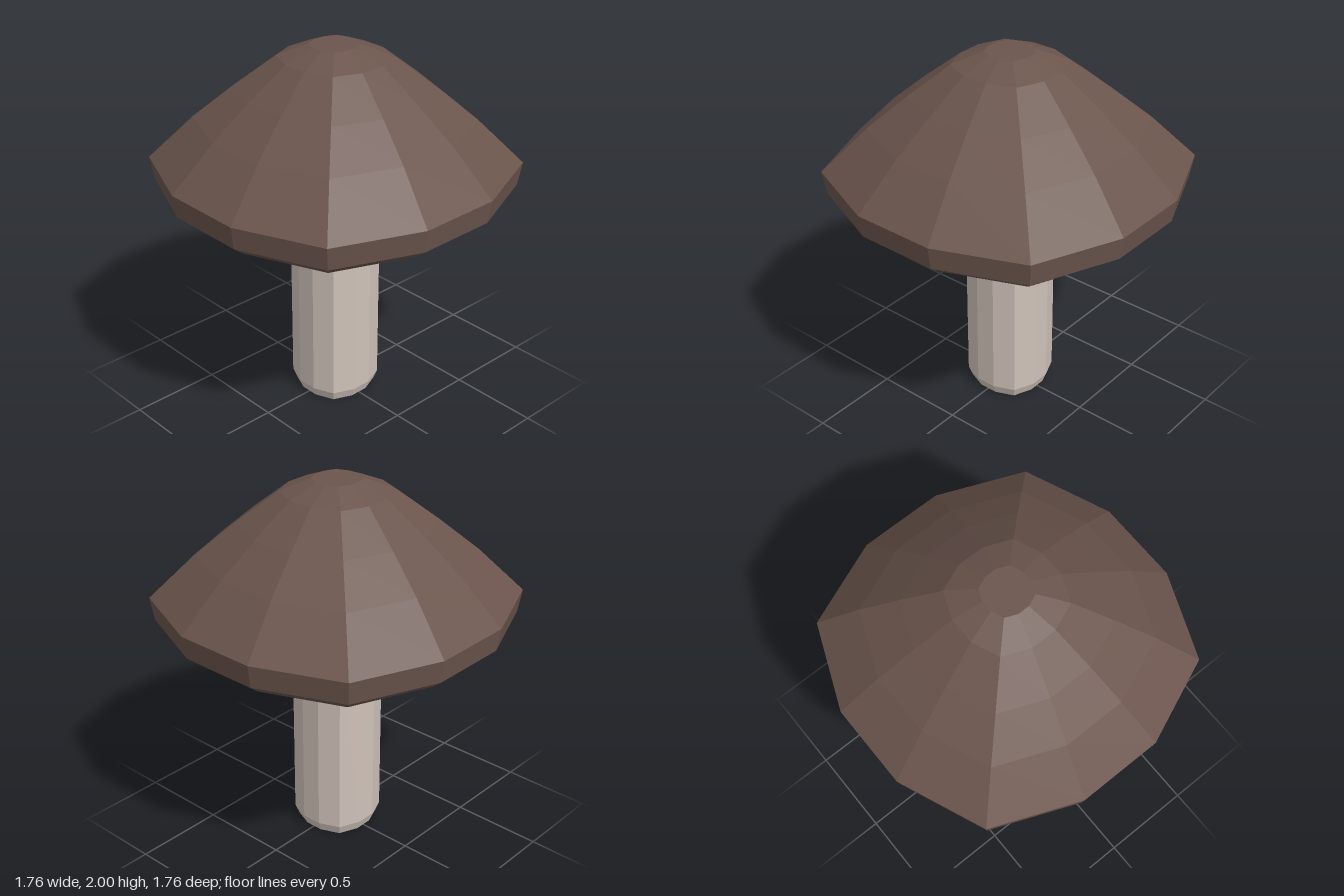
import * as THREE from 'three';

// One quarter of the twelve-sided outline, a square with its sides bent outward (half-width 1)
const QUARTER = [[0.26, 1], [0.784, 0.784], [1, 0.26]];
const OUTLINE = [];
for (let q = 0; q < 4; q++) {
  for (const [x, z] of QUARTER) {
    const turned = [[x, z], [z, -x], [-x, -z], [-z, x]];
    OUTLINE.push(turned[q]);
  }
}

// Sweeps a [half-width, height] profile, listed bottom to top, around the outline
function sweep(name, profile, color) {
  const points = profile.map(([r, y]) => new THREE.Vector2(r, y));
  const lathe = new THREE.LatheGeometry(points, OUTLINE.length);
  const pos = lathe.attributes.position;
  for (let i = 0; i < pos.count; i++) {
    const [x, z] = OUTLINE[Math.floor(i / points.length) % OUTLINE.length];
    const r = points[i % points.length].x;
    pos.setXYZ(i, x * r, pos.getY(i), z * r);
  }
  const geometry = lathe.toNonIndexed();
  geometry.computeVertexNormals();
  const material = new THREE.MeshStandardMaterial({ color, flatShading: true });
  const mesh = new THREE.Mesh(geometry, material);
  mesh.name = name;
  return mesh;
}

export function createModel() {
  const group = new THREE.Group();
  group.name = 'mushroom';
  const brown = 0x6b554d, cream = 0xcfc2b9;

  // Stem with a chamfered foot
  group.add(sweep('stem', [[0, 0], [0.195, 0], [0.215, 0.055], [0.215, 1.19]], cream));

  // Flat pale underside of the cap
  group.add(sweep('capUnderside', [[0, 1.19], [0.8, 1.19]], cream));

  // Faceted cap with a bevelled rim and a small flat top
  group.add(sweep('cap', [
    [0.8, 1.19], [0.86, 1.24], [0.88, 1.365], [0.66, 1.6],
    [0.47, 1.77], [0.27, 1.935], [0.12, 2], [0, 2],
  ], brown));

  return group;
}
